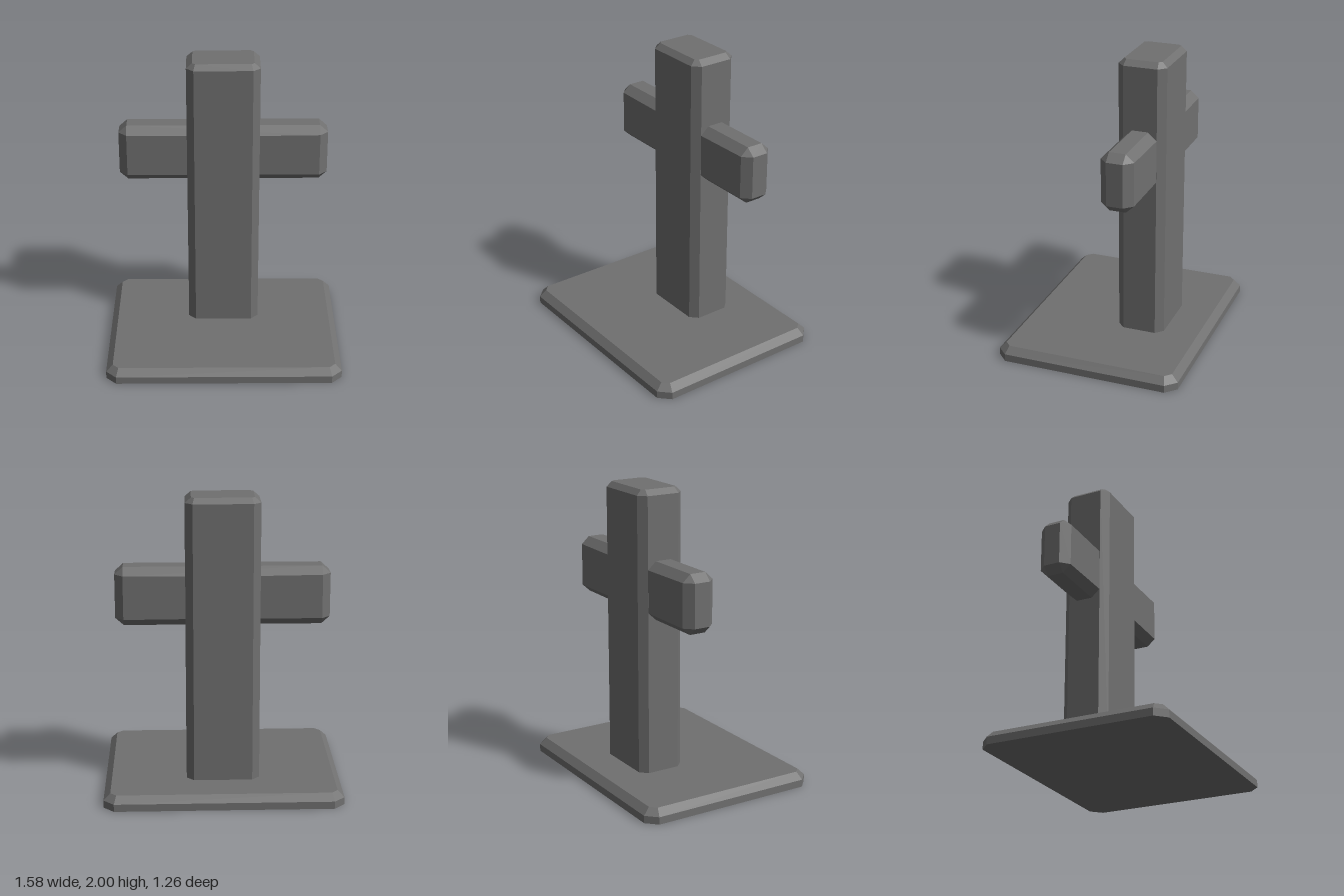
import * as THREE from 'three';
import { ConvexGeometry } from 'three/addons/geometries/ConvexGeometry.js';

// Rectangle with cut corners: half sizes a, b and corner cuts ca, cb
function cutRect(a, b, ca, cb = ca) {
  const pts = [];
  for (const s of [-1, 1]) for (const t of [-1, 1]) {
    pts.push([s * (a - ca), t * b]);
    if (ca > 0) pts.push([s * a, t * (b - cb)]);
  }
  return pts;
}

// Solid spanning a list of cross-sections: [position, halfA, halfB, cutA, cutB]
function bevelledBlock(sections, place) {
  const pts = [];
  for (const [pos, ...rect] of sections) {
    for (const [a, b] of cutRect(...rect)) pts.push(place(pos, a, b));
  }
  return new ConvexGeometry(pts);
}

export function createModel() {
  const group = new THREE.Group();
  const stone = new THREE.MeshStandardMaterial({ color: 0x707070 });
  stone.name = 'grey stone';
  stone.flatShading = true;

  const add = (name, geometry, y = 0, z = 0) => {
    const mesh = new THREE.Mesh(geometry, stone);
    mesh.name = name;
    mesh.position.set(0, y, z);
    group.add(mesh);
  };
  const upright = (y, x, z) => new THREE.Vector3(x, y, z);
  const sideways = (x, y, z) => new THREE.Vector3(x, y, z);

  // Slab with a sloped top rim
  add('base', bevelledBlock([
    [0, 0.79, 0.63, 0.07],
    [0.05, 0.79, 0.63, 0.07],
    [0.095, 0.745, 0.585, 0.04],
  ], upright));

  // Tall post standing behind the middle of the slab
  add('post', bevelledBlock([
    [0.05, 0.243, 0.162, 0.049],
    [1.965, 0.243, 0.163, 0.049],
    [2, 0.203, 0.128, 0.02],
  ], upright), 0, -0.19);

  // Crossbar through the post, bevelled at both ends
  add('crossbar', bevelledBlock([
    [-0.7, 0.145, 0.055, 0],
    [-0.645, 0.195, 0.11, 0.05, 0.055],
    [0, 0.195, 0.115, 0.055, 0.06],
    [0.645, 0.195, 0.11, 0.05, 0.055],
    [0.7, 0.145, 0.055, 0],
  ], sideways), 1.345, -0.19);

  return group;
}
